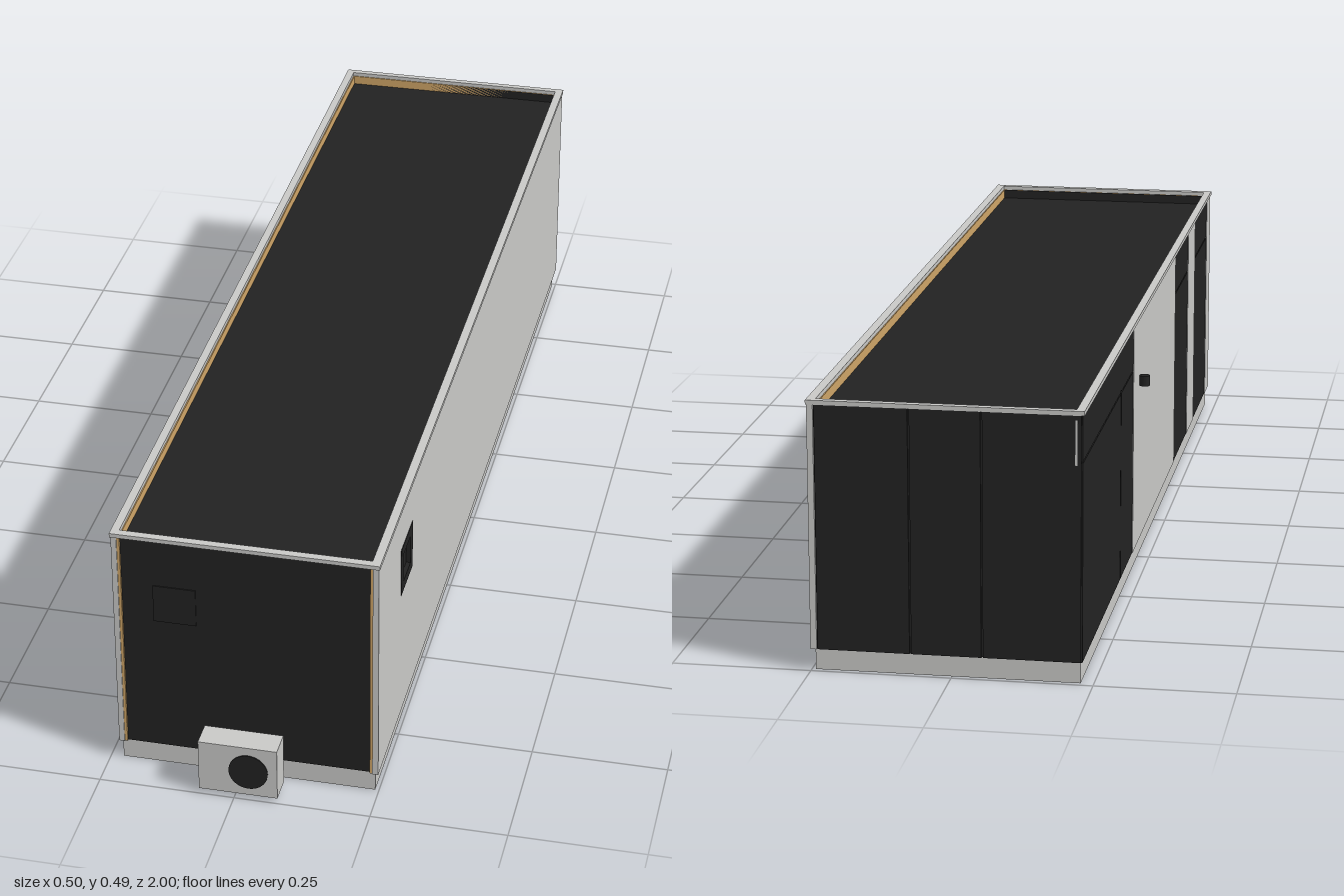
import * as THREE from 'three';

const mat = (name, color) => {
  const m = new THREE.MeshStandardMaterial({ color });
  m.name = name;
  return m;
};

export function createModel() {
  const root = new THREE.Group();
  root.name = 'modularCabin';
  const grey = mat('light grey cladding', 0xc9c9c7);
  const dark = mat('charcoal', 0x222222);
  const wood = mat('wood', 0xcfa567);

  const add = (name, geo, m, parent = root) => {
    const mesh = new THREE.Mesh(geo, m);
    mesh.name = name;
    parent.add(mesh);
    return mesh;
  };
  // Box given by its limits on each axis
  const box = (name, m, [x0, x1], [y0, y1], [z0, z1], parent = root) => {
    const g = new THREE.BoxGeometry(x1 - x0, y1 - y0, z1 - z0);
    g.translate((x0 + x1) / 2, (y0 + y1) / 2, (z0 + z1) / 2);
    return add(name, g, m, parent);
  };
  const rect = (C, a0, a1, b0, b1) => {
    const s = new C();
    s.moveTo(a0, b0).lineTo(a1, b0).lineTo(a1, b1).lineTo(a0, b1).closePath();
    return s;
  };
  // Rectangular plate with a rectangular hole, extruded along +z
  const frame = (outer, inner, depth) => {
    const s = rect(THREE.Shape, ...outer);
    s.holes.push(rect(THREE.Path, ...inner));
    return new THREE.ExtrudeGeometry(s, { depth, bevelEnabled: false });
  };
  // Horizontal ring lying between y0 and y1; limits are x0, x1, z0, z1
  const ring = (name, m, o, i, y0, y1) => {
    const flip = ([a, b, c, d]) => [a, b, -d, -c];
    const g = frame(flip(o), flip(i), y1 - y0);
    g.rotateX(-Math.PI / 2).translate(0, y0, 0);
    return add(name, g, m);
  };

  const Y0 = 0.04, Y1 = 0.483;

  // Plinth and closed core with the sunken roof
  box('plinth', grey, [-0.227, 0.243], [0, Y0], [-0.99, 0.922]);
  box('roofAndCore', dark, [-0.217, 0.234], [Y0, 0.465], [-0.985, 0.915]);

  // Wooden lining, seen at the front edges and inside the parapet
  box('leftLining', wood, [0.234, 0.239], [Y0, Y1], [-0.985, 0.928]);
  box('rightLining', wood, [-0.222, -0.217], [Y0, Y1], [-0.985, 0.928]);
  ring('parapetLining', wood, [-0.222, 0.239, -0.988, 0.918], [-0.217, 0.234, -0.985, 0.915], 0.45, Y1);

  // Parapet cap
  ring('parapetCap', grey, [-0.234, 0.252, -1, 0.932], [-0.219, 0.236, -0.987, 0.917], Y1, 0.491);

  // Left wall with its small window
  const wall = frame([-0.93, 1, Y0, Y1], [-0.74, -0.64, 0.302, 0.4], 0.011);
  wall.rotateY(Math.PI / 2).translate(0.239, 0, 0);
  add('leftWall', wall, grey);
  const windowFrame = frame([-0.74, -0.64, 0.302, 0.4], [-0.72, -0.66, 0.322, 0.38], 0.011);
  windowFrame.rotateY(Math.PI / 2).translate(0.24, 0, 0);
  add('windowFrame', windowFrame, dark);
  box('windowPane', dark, [0.238, 0.243], [0.31, 0.39], [0.65, 0.73]);

  // Right wall: cladding between glazed openings
  for (const z of [[-0.355, 0.292], [0.516, 0.64], [0.865, 0.93]])
    box('rightWall', grey, [-0.232, -0.222], [Y0, Y1], z);
  const gap = 0.0015, transom = 0.4;
  for (const [z0, z1] of [[-0.998, -0.52], [-0.52, -0.355], [0.292, 0.516], [0.64, 0.865]]) {
    box('openingBacking', dark, [-0.228, -0.222], [Y0, Y1], [z0, z1]);
    box('glazedDoor', dark, [-0.231, -0.226], [Y0, transom - gap], [z0 + gap, z1 - gap]);
    box('transomPanel', dark, [-0.231, -0.226], [transom + gap, Y1], [z0 + gap, z1 - gap]);
  }

  // Back wall: three tall glazed panels, with a thin light corner trim
  box('backBacking', dark, [-0.23, 0.239], [Y0, Y1], [-0.995, -0.985]);
  const backX = [-0.23, -0.055, 0.072, 0.239];
  for (let i = 0; i < 3; i++)
    box('backPanel', dark, [backX[i] + gap, backX[i + 1] - gap], [Y0, Y1], [-0.999, -0.99]);
  box('cornerTrim', grey, [-0.222, -0.218], [0.395, 0.475], [-1, -0.998]);

  // Front wall with a flush square hatch
  box('frontPanel', dark, [-0.217, 0.234], [Y0, Y1], [0.913, 0.924]);
  box('frontHatch', dark, [-0.16, -0.082], [0.312, 0.387], [0.92, 0.926]);

  // Outdoor fan unit
  const unit = new THREE.Group();
  unit.name = 'fanUnit';
  root.add(unit);
  box('fanUnitCase', grey, [-0.065, 0.08], [0.01, 0.113], [0.948, 0.998], unit);
  box('fanUnitValve', dark, [0.06, 0.07], [0.02, 0.03], [0.941, 0.949], unit);
  const fan = new THREE.CylinderGeometry(0.036, 0.036, 0.004, 40);
  fan.rotateX(Math.PI / 2).translate(0.027, 0.061, 0.998);
  add('fanGrille', fan, dark, unit);

  // Wall lamp
  const lamp = new THREE.CylinderGeometry(0.01, 0.01, 0.02, 24);
  lamp.translate(-0.242, 0.36, -0.27);
  add('wallLamp', lamp, dark);

  return root;
}
